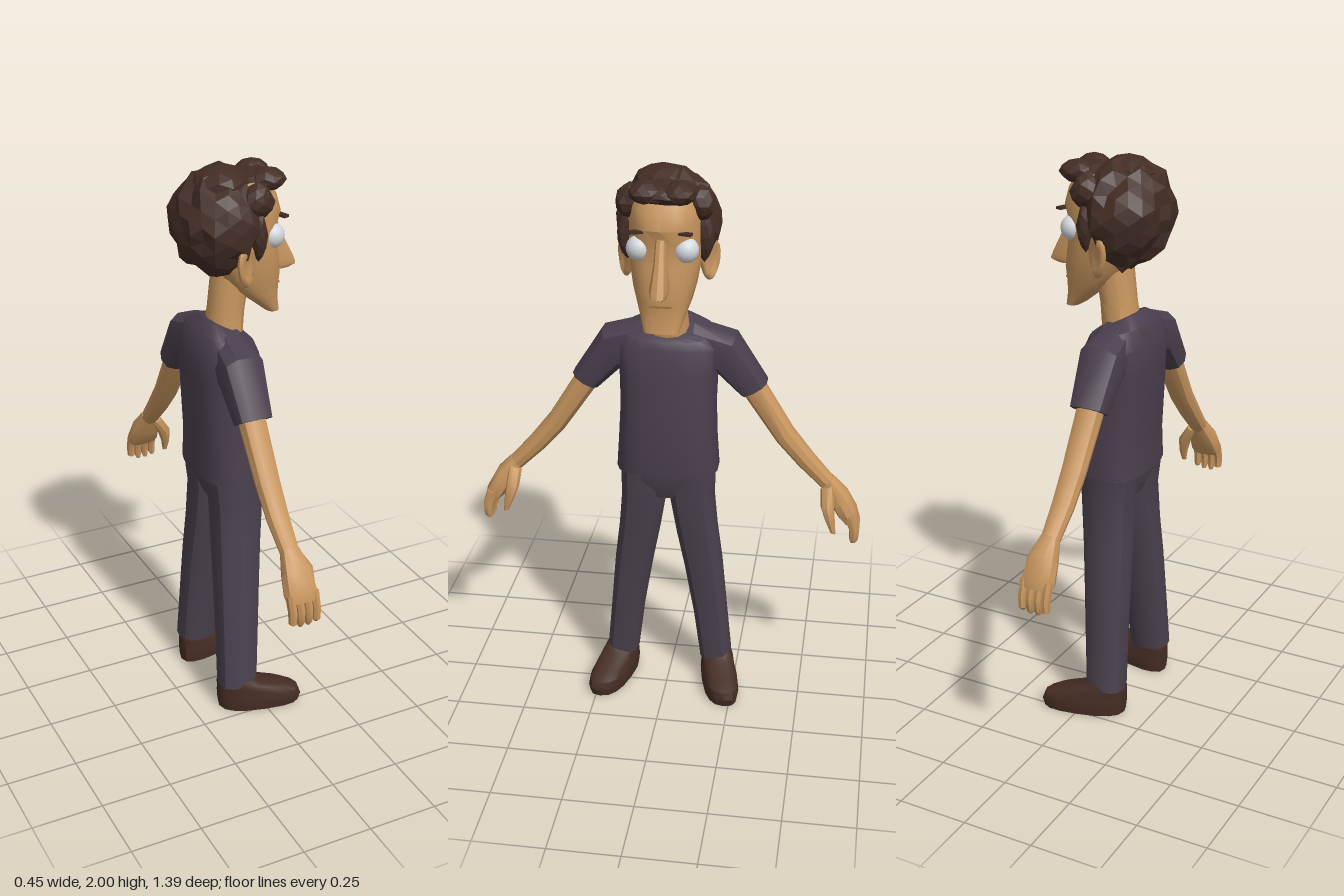
import * as THREE from 'three';
import { toCreasedNormals } from 'three/addons/utils/BufferGeometryUtils.js';

const makeMat = (name, color) => Object.assign(new THREE.MeshStandardMaterial({ color }), { name });

// Stack of superellipse rings, listed top to bottom.
// Ring: [xBack, xFront, y, z, halfWidth, sideways tilt in degrees, rise towards the front]
function loft(rings, sides = 14, power = 2.4, crease = 0.6) {
  const pos = [], index = [];
  const bend = v => Math.sign(v) * Math.abs(v) ** (2 / power);
  for (const [x0, x1, y, z, b, tilt = 0, rise = 0] of rings) {
    const t = THREE.MathUtils.degToRad(tilt);
    for (let i = 0; i < sides; i++) {
      const a = (i / sides) * Math.PI * 2, c = bend(Math.cos(a)), s = bend(Math.sin(a)) * b;
      pos.push((x0 + x1) / 2 + c * (x1 - x0) / 2, y + s * Math.sin(t) + rise * c, z + s * Math.cos(t));
    }
  }
  const n = rings.length, top = n * sides, bottom = top + 1;
  for (const r of [rings[0], rings[n - 1]]) pos.push((r[0] + r[1]) / 2, r[2], r[3]);
  for (let i = 0; i < sides; i++) {
    const j = (i + 1) % sides, last = (n - 1) * sides;
    for (let k = 0; k < n - 1; k++) {
      const p = k * sides, q = p + sides;
      index.push(p + i, p + j, q + i, p + j, q + j, q + i);
    }
    index.push(top, j, i, bottom, last + i, last + j);
  }
  const g = new THREE.BufferGeometry();
  g.setAttribute('position', new THREE.Float32BufferAttribute(pos, 3));
  g.setIndex(index);
  return toCreasedNormals(g, crease);
}

// Move every vertex by a rule and refresh normals
function warp(geo, rule, crease) {
  const p = geo.attributes.position, v = new THREE.Vector3();
  for (let i = 0; i < p.count; i++) {
    rule(v.fromBufferAttribute(p, i));
    p.setXYZ(i, v.x, v.y, v.z);
  }
  if (crease) return toCreasedNormals(geo, crease);
  geo.computeVertexNormals();
  return geo;
}

// Reflected copy across the middle of the body
function mirror(geo) {
  const g = geo.index ? geo.toNonIndexed() : geo.clone();
  g.scale(1, 1, -1);
  for (const a of Object.values(g.attributes)) {
    const n = a.itemSize;
    for (let i = 0; i < a.count; i += 3)
      for (let k = 0; k < n; k++) {
        const u = (i + 1) * n + k, w = (i + 2) * n + k;
        [a.array[u], a.array[w]] = [a.array[w], a.array[u]];
      }
  }
  return g;
}

// Faceted lump of hair
function tuft(x, y, z, rx, ry, rz, detail, limit) {
  return warp(new THREE.IcosahedronGeometry(1, detail), v => {
    const lump = 1 + 0.07 * Math.sin(7 * v.x + 3 * v.y + x * 40) * Math.sin(6 * v.y - 5 * v.z + z * 30)
      + 0.05 * Math.sin(11 * v.z + 8 * v.x + 2);
    v.multiplyScalar(lump);
    v.set(x + v.x * rx, y + v.y * ry, z + v.z * rz);
    if (limit) limit(v);
  });
}

export function createModel() {
  const model = new THREE.Group();
  const skin = makeMat('skin', 0xc8965f), shirt = makeMat('shirt fabric', 0x4a3f4d);
  const denim = makeMat('trouser fabric', 0x4a414d), hairMat = makeMat('hair', 0x432d25);
  const leather = makeMat('shoe leather', 0x452d24), white = makeMat('eye white', 0xd3d8dc);
  const lip = makeMat('lip line', 0xa0703f);

  const add = (name, geo, mat) => {
    const m = new THREE.Mesh(geo, mat);
    m.name = name;
    model.add(m);
  };
  const pair = (name, geo, mat) => {
    add(name + 'Left', geo, mat);
    add(name + 'Right', mirror(geo), mat);
  };

  // Shirt
  add('shirtBody', loft([
    [-0.12, 0.02, 1.443, 0, 0.085, 0, -0.034], [-0.155, 0.03, 1.42, 0, 0.15, 0, -0.02],
    [-0.178, 0.04, 1.37, 0, 0.18], [-0.178, 0.055, 1.28, 0, 0.172], [-0.174, 0.065, 1.15, 0, 0.168],
    [-0.166, 0.075, 1.02, 0, 0.174], [-0.168, 0.07, 0.905, 0, 0.182]], 18, 2.9), shirt);
  pair('sleeve', loft([
    [-0.14, 0.0, 1.36, 0.09, 0.095, 90], [-0.158, 0.0, 1.34, 0.2, 0.078, 63],
    [-0.15, -0.02, 1.208, 0.3, 0.053, 31]], 10, 2.6), shirt);

  // Trousers
  add('hips', loft([
    [-0.15, 0.055, 0.93, 0, 0.168], [-0.15, 0.055, 0.88, 0, 0.17], [-0.12, 0.03, 0.805, 0, 0.1]], 16, 2.8), denim);
  pair('trouserLeg', loft([
    [-0.15, 0.05, 0.9, 0.087, 0.084], [-0.138, 0.045, 0.8, 0.087, 0.082], [-0.14, 0.03, 0.65, 0.106, 0.076],
    [-0.145, 0.015, 0.5, 0.13, 0.071], [-0.15, 0, 0.3, 0.156, 0.063], [-0.155, -0.015, 0.1, 0.178, 0.06]], 12, 2.7), denim);

  // Shoes, turned slightly outwards
  pair('shoe', warp(loft([
    [-0.145, -0.03, 0.122, 0.18, 0.05], [-0.154, 0.0, 0.1, 0.18, 0.058], [-0.155, 0.09, 0.077, 0.18, 0.06],
    [-0.156, 0.134, 0.055, 0.18, 0.066], [-0.155, 0.143, 0.03, 0.18, 0.068], [-0.152, 0.135, 0, 0.18, 0.064]], 16, 2.6),
  v => {
    v.z += 0.23 * (v.x + 0.1);
  }, 0.6), leather);

  // Arms and hands
  pair('arm', loft([
    [-0.135, -0.04, 1.24, 0.275, 0.045, 31], [-0.13, -0.045, 1.03, 0.412, 0.039, 44],
    [-0.128, -0.05, 0.94, 0.487, 0.035, 44], [-0.12, -0.055, 0.85, 0.573, 0.029, 42]], 10, 2.2), skin);
  pair('palm', loft([
    [-0.12, -0.055, 0.86, 0.568, 0.028, 42], [-0.138, -0.035, 0.8, 0.613, 0.038, 38],
    [-0.146, -0.028, 0.74, 0.648, 0.036, 25], [-0.142, -0.032, 0.715, 0.66, 0.026, 20]], 10, 2.6), skin);
  for (let i = 0; i < 4; i++) {
    const x = -0.129 + i * 0.029, tip = 0.633 + (i === 0 ? 0.018 : i === 3 ? 0.006 : 0);
    pair('finger' + (i + 1), loft([
      [x - 0.015, x + 0.015, 0.745, 0.655, 0.022, 20], [x - 0.014, x + 0.014, 0.69, 0.675, 0.019, 10],
      [x - 0.013, x + 0.013, 0.65, 0.675, 0.016, 0], [x - 0.007, x + 0.007, tip, 0.671, 0.009, -5]], 7, 2.2), skin);
  }
  pair('thumb', loft([
    [-0.09, -0.045, 0.845, 0.57, 0.025, 25], [-0.055, -0.005, 0.785, 0.575, 0.024, 10],
    [-0.034, -0.002, 0.73, 0.588, 0.018, -10], [-0.024, -0.008, 0.685, 0.6, 0.01, -15]], 8, 2.2), skin);

  // Neck and head, with the face narrowing to the front
  add('neck', loft([
    [-0.085, 0.045, 1.63, 0, 0.07], [-0.1, 0.022, 1.5, 0, 0.067], [-0.115, 0.012, 1.4, 0, 0.076]], 12, 2.2), skin);
  add('head', warp(loft([
    [-0.1, 0.09, 1.945, 0, 0.09], [-0.15, 0.13, 1.89, 0, 0.117], [-0.15, 0.148, 1.83, 0, 0.12],
    [-0.13, 0.128, 1.77, 0, 0.122], [-0.11, 0.136, 1.7, 0, 0.12], [-0.07, 0.148, 1.62, 0, 0.107],
    [-0.03, 0.143, 1.57, 0, 0.094], [0.035, 0.14, 1.525, 0, 0.08], [0.095, 0.147, 1.477, 0, 0.066]], 18, 2.8),
  v => {
    v.z *= 1 - 1.2 * Math.max(0, v.x - 0.04);
  }, 0.6), skin);
  add('nose', loft([
    [0.09, 0.145, 1.8, 0, 0.018], [0.09, 0.178, 1.72, 0, 0.022], [0.09, 0.218, 1.642, 0, 0.032],
    [0.09, 0.226, 1.622, 0, 0.029], [0.09, 0.2, 1.612, 0, 0.025]], 10, 2.6), skin);
  add('mouth', new THREE.BoxGeometry(0.008, 0.006, 0.075).translate(0.142, 1.572, 0), lip);

  // Eyes, brows and ears
  pair('eye', new THREE.SphereGeometry(0.043, 18, 12).translate(0.094, 1.757, 0.078), white);
  pair('eyebrow', new THREE.BoxGeometry(0.022, 0.009, 0.07).rotateY(0.3).translate(0.126, 1.822, 0.068), hairMat);
  pair('ear', warp(new THREE.SphereGeometry(1, 12, 10), v => {
    // flat oval, narrower at the lobe, hollowed on the outside
    const hollow = v.z > 0.75 ? 0.2 : 1;
    v.set(v.x * 0.046 * (1 + 0.25 * v.y), v.y * 0.073, v.z * 0.022 * hollow);
  }).rotateY(0.6).translate(-0.032, 1.687, 0.143), skin);

  // Hair: a back mass cut away around the face and ears, then a fringe
  add('hairBack', tuft(-0.065, 1.805, 0, 0.16, 0.185, 0.176, 3, v => {
    const f = THREE.MathUtils.clamp((v.y - 1.64) / 0.26, 0, 1);
    v.x = Math.min(v.x, -0.075 + 0.135 * f);
    if (v.y < 1.7) v.x -= 0.03 * (1.7 - v.y) / 0.1 * (v.x < -0.12 ? -1 : 0);
  }), hairMat);
  add('fringe', tuft(0.06, 1.935, 0, 0.08, 0.038, 0.105, 2), hairMat);
  pair('fringeTuft', tuft(0.085, 1.944, 0.058, 0.064, 0.04, 0.055, 1), hairMat);
  pair('templeTuft', tuft(0.02, 1.895, 0.118, 0.055, 0.06, 0.05, 1), hairMat);
  pair('sideburn', tuft(0.018, 1.785, 0.13, 0.028, 0.085, 0.034, 1), hairMat);
  add('crownTuft', tuft(-0.065, 1.945, 0.02, 0.09, 0.055, 0.1, 1), hairMat);
  return model;
}
